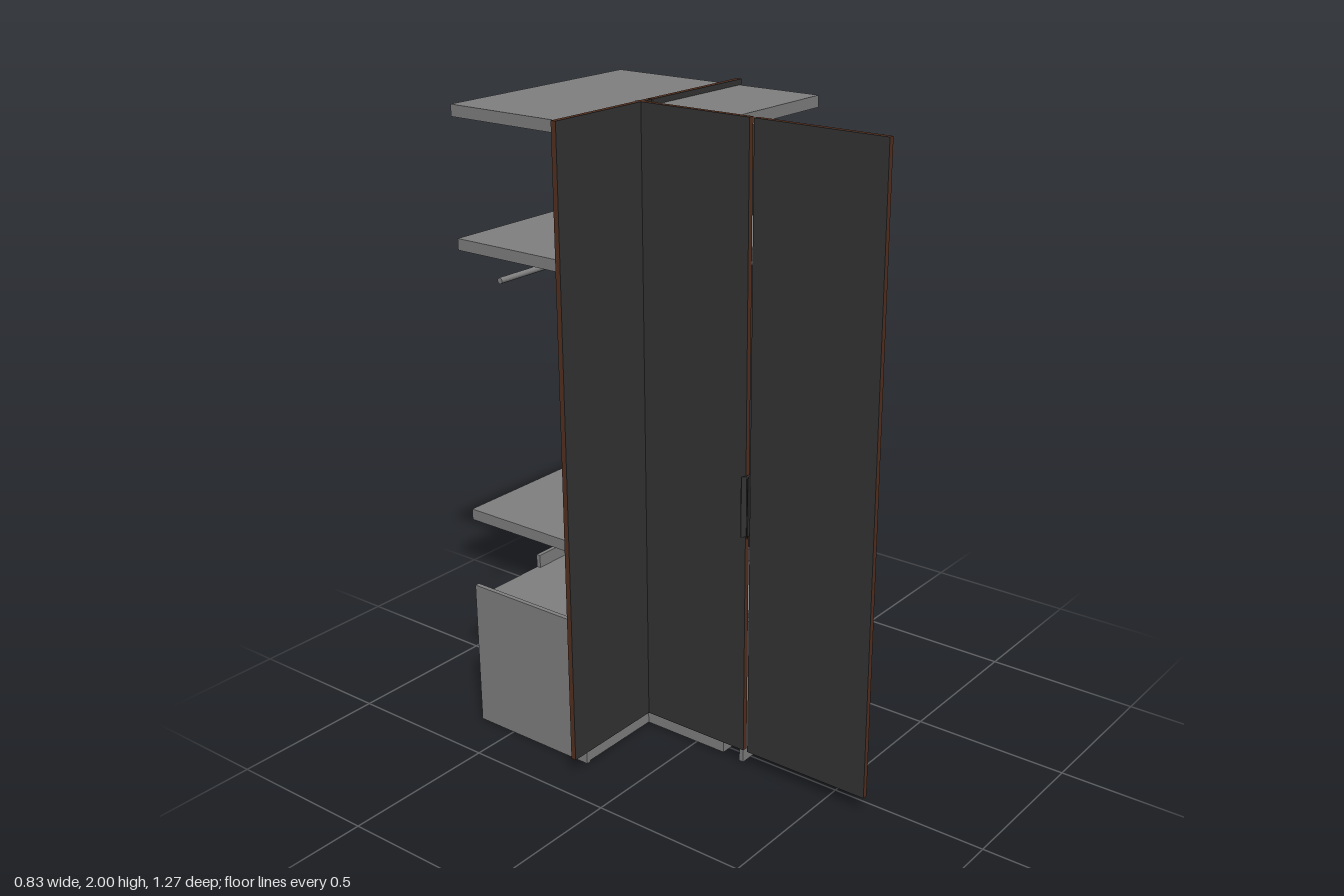
import * as THREE from 'three';

const grey = new THREE.MeshStandardMaterial({ color: 0x808080 });
grey.name = 'carcassGrey';
const dark = new THREE.MeshStandardMaterial({ color: 0x333333 });
dark.name = 'darkPanel';
const brown = new THREE.MeshStandardMaterial({ color: 0x54301f });
brown.name = 'brownFrame';

// Box given by its minimum and maximum corners
function box(name, mat, [x0, y0, z0], [x1, y1, z1]) {
  const m = new THREE.Mesh(new THREE.BoxGeometry(x1 - x0, y1 - y0, z1 - z0), mat);
  m.position.set((x0 + x1) / 2, (y0 + y1) / 2, (z0 + z1) / 2);
  m.name = name;
  return m;
}

// L-shaped board lying flat between two heights
function cornerBoard(name, y0, y1) {
  const pts = [[-0.34, 0.635], [-0.34, 0.19], [-0.04, 0.19], [-0.04, -0.11], [0.405, -0.11], [0.405, 0.635]];
  const shape = new THREE.Shape(pts.map(p => new THREE.Vector2(...p)));
  const geo = new THREE.ExtrudeGeometry(shape, { depth: y1 - y0, bevelEnabled: false });
  geo.rotateX(-Math.PI / 2);
  const m = new THREE.Mesh(geo, grey);
  m.position.y = y0;
  m.name = name;
  return m;
}

// Framed door leaf: outside faces local +z, the frame shows on the inside
function leaf(x0, x1) {
  const g = new THREE.Group();
  g.name = 'doorLeaf';
  const y0 = 0.055, y1 = 2, w = 0.022;
  const rect = (T, a, b, c, d) => {
    const p = new T();
    p.moveTo(a, b).lineTo(c, b).lineTo(c, d).lineTo(a, d).closePath();
    return p;
  };
  const shape = rect(THREE.Shape, x0, y0, x1, y1);
  shape.holes.push(rect(THREE.Path, x0 + w, y0 + w, x1 - w, y1 - w));
  const frame = new THREE.Mesh(new THREE.ExtrudeGeometry(shape, { depth: 0.015, bevelEnabled: false }), brown);
  frame.position.z = -0.0085;
  frame.name = 'doorFrame';
  g.add(frame, box('doorPanel', dark, [x0, y0, 0.0065], [x1, y1, 0.0085]),
    box('doorInset', dark, [x0 + w, y0 + w, -0.006], [x1 - w, y1 - w, 0.0065]));
  return g;
}

// Upright handle with two flared flanges
function handle(x) {
  const pts = [[-0.004, -0.006], [0.004, -0.006], [0.004, 0.01], [0.013, 0.026], [0.01, 0.027],
    [0, 0.015], [-0.01, 0.027], [-0.013, 0.026], [-0.004, 0.01]];
  const shape = new THREE.Shape(pts.map(([a, b]) => new THREE.Vector2(a, -b)));
  const geo = new THREE.ExtrudeGeometry(shape, { depth: 0.19, bevelEnabled: false });
  geo.rotateX(-Math.PI / 2);
  const m = new THREE.Mesh(geo, dark);
  m.position.set(x, 0.78, 0);
  m.name = 'doorHandle';
  return m;
}

function doorPair(name, a, b, c, d) {
  const g = new THREE.Group();
  g.name = name;
  g.add(leaf(a, b), leaf(c, d), handle((b + c) / 2));
  return g;
}

function rail(name, length) {
  const m = new THREE.Mesh(new THREE.CylinderGeometry(0.009, 0.009, length, 16), grey);
  m.name = name;
  return m;
}

export function createModel() {
  const model = new THREE.Group();
  model.name = 'cornerWardrobe';

  // Shelves
  [[0.705, 0.74], [1.56, 1.595], [1.948, 1.983]].forEach(([a, b]) => model.add(cornerBoard('shelf', a, b)));

  // Low cabinet: plinth, floor, top and upright panels
  model.add(
    cornerBoard('plinth', 0.005, 0.04),
    cornerBoard('cabinetFloor', 0.04, 0.08),
    cornerBoard('cabinetTop', 0.4, 0.437),
    box('sidePanel', grey, [0.392, 0.005, -0.342], [0.407, 0.48, 0.105]),
    box('backPanel', grey, [-0.06, 0.005, -0.637], [0.407, 0.48, -0.622]),
    box('endPanel', grey, [-0.342, 0, -0.637], [-0.327, 0.48, -0.19]),
    box('frontPanel', grey, [-0.042, 0, 0.172], [0.407, 0.48, 0.187])
  );

  // Hanging rails
  const railZ = rail('hangingRailFront', 0.59);
  railZ.rotation.x = Math.PI / 2;
  railZ.position.set(0.183, 1.52, -0.12);
  const railX = rail('hangingRailBack', 0.805);
  railX.rotation.z = Math.PI / 2;
  railX.position.set(0.0025, 1.52, -0.415);
  model.add(railZ, railX);

  // Two pairs of doors crossing at the inner corner
  const doorsA = doorPair('rearDoors', -0.414, -0.012, -0.007, 0.413);
  doorsA.position.z = -0.181;
  const doorsB = doorPair('sideDoors', -0.194, 0.2, 0.215, 0.635);
  doorsB.rotation.y = -Math.PI / 2;
  doorsB.position.x = -0.0515;
  model.add(doorsA, doorsB);

  return model;
}
